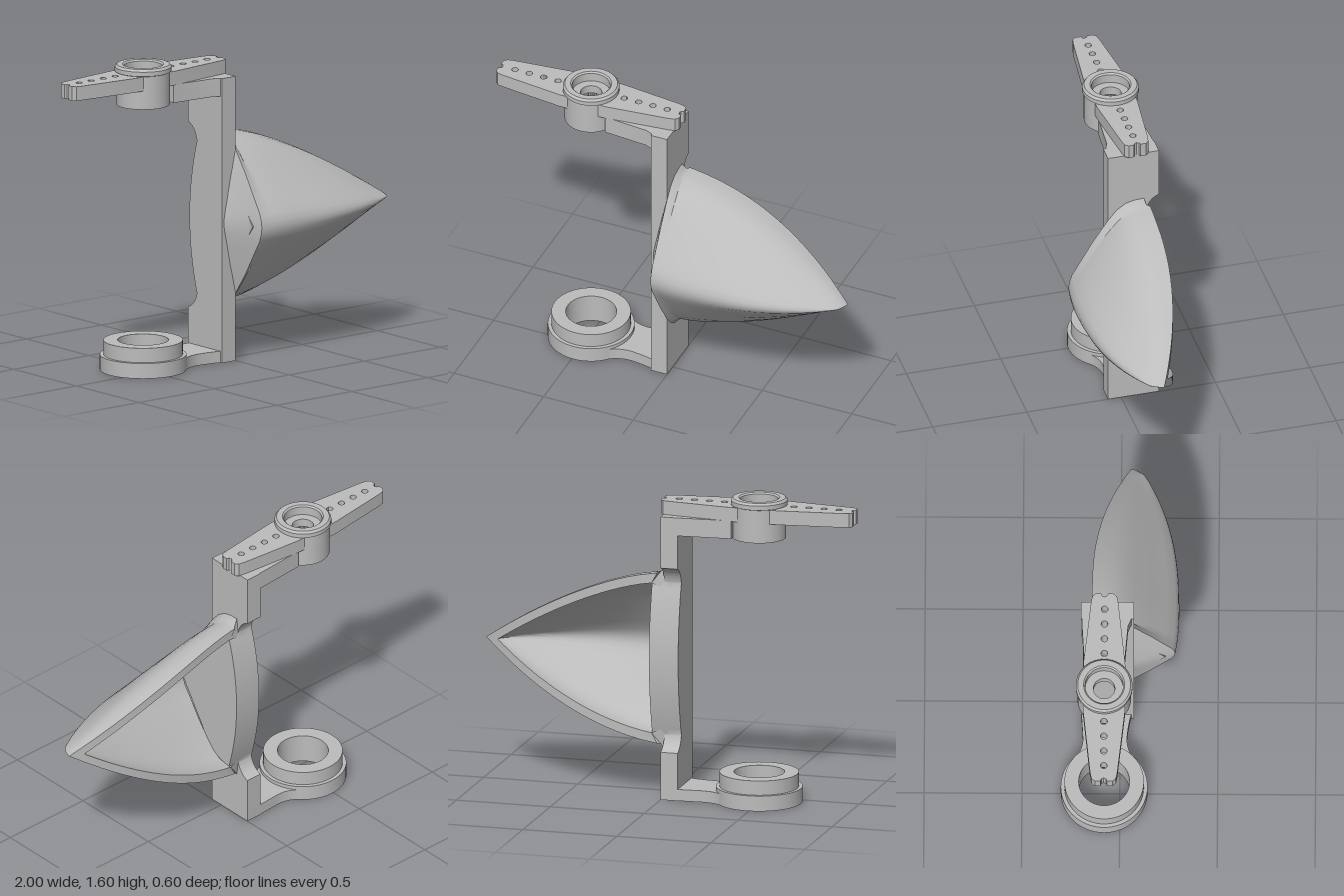
import * as THREE from 'three';
import { toCreasedNormals } from 'three/addons/utils/BufferGeometryUtils.js';

const HUB_X = -0.49, HUB_Z = -0.08, MID_Y = 0.73;

export function createModel() {
  const model = new THREE.Group();
  model.name = 'steeringBucket';
  const grey = new THREE.MeshStandardMaterial({ color: 0xbcbcbc });
  grey.name = 'grey plastic';

  const add = (name, geometry, crease = 0.6) => {
    const mesh = new THREE.Mesh(toCreasedNormals(geometry, crease), grey);
    mesh.name = name;
    model.add(mesh);
    return mesh;
  };
  const polygon = (pts) => new THREE.Shape(pts.map(([a, b]) => new THREE.Vector2(a, b)));
  const circle = (x, y, r) => new THREE.Path().absarc(x, y, r, 0, Math.PI * 2, true);
  const extrude = (shape, depth) =>
    new THREE.ExtrudeGeometry(shape, { depth, bevelEnabled: false, curveSegments: 24 });
  // shape drawn in (x, z), raised from y0 to y1
  const slab = (shape, y0, y1) => extrude(shape, y1 - y0).rotateX(Math.PI / 2).translate(0, y1, 0);
  // shape drawn in (z, y), spanning x0 to x1
  const wall = (shape, x0, x1) => extrude(shape, x1 - x0).rotateY(-Math.PI / 2).translate(x1, 0, 0);
  // closed ring profile, outer side upward first
  const ring = (pts) => new THREE.LatheGeometry(
    [...pts, pts[0]].map(([r, y]) => new THREE.Vector2(r, y)), 64).translate(HUB_X, 0, HUB_Z);

  // Upright plate with a notched, bowed back edge
  const plate = new THREE.Shape();
  plate.moveTo(0.07, 0);
  plate.lineTo(0.07, 1.49);
  plate.lineTo(-0.2, 1.49);
  plate.lineTo(-0.2, 1.22);
  plate.quadraticCurveTo(-0.145, 1.2, -0.13, 1.13);
  plate.quadraticCurveTo(-0.25, MID_Y, -0.13, 0.33);
  plate.quadraticCurveTo(-0.145, 0.27, -0.2, 0.25);
  plate.lineTo(-0.2, 0);
  add('uprightPlate', wall(plate, -0.09, 0));

  // Rib closing the inner end of the bucket
  const rib = new THREE.Shape();
  rib.moveTo(-0.13, 1.13);
  rib.quadraticCurveTo(-0.25, MID_Y, -0.13, 0.33);
  rib.lineTo(0, 0.37);
  rib.lineTo(0.23, MID_Y);
  rib.lineTo(0, 1.09);
  add('bucketRib', wall(rib, -0.02, 0.065));

  // Lower arm and bearing ring
  const lowerArm = new THREE.Shape();
  lowerArm.moveTo(0, -0.2);
  lowerArm.lineTo(0, 0.07);
  lowerArm.lineTo(-0.06, 0.07);
  lowerArm.quadraticCurveTo(-0.1, 0.045, -0.22, 0.035);
  lowerArm.quadraticCurveTo(-0.29, 0.035, -0.34, 0.08);
  lowerArm.lineTo(-0.34, -0.24);
  lowerArm.quadraticCurveTo(-0.29, -0.19, -0.22, -0.19);
  lowerArm.lineTo(-0.06, -0.2);
  add('lowerArm', slab(lowerArm, 0, 0.06));
  add('bearingRing', ring([
    [0.13, 0], [0.222, 0], [0.222, 0.08], [0.203, 0.08], [0.203, 0.155], [0.13, 0.155],
  ]));

  // Upper arm, drilled for two screws
  const upperArm = polygon([[0, -0.2], [0, 0.07], [-0.06, 0.07], [-0.13, 0.04],
    [-0.37, 0.02], [-0.37, -0.18], [-0.13, -0.195]]);
  [-0.225, -0.145].forEach((x) => upperArm.holes.push(circle(x, HUB_Z, 0.017)));
  add('upperArm', slab(upperArm, 1.395, 1.49));

  // Double-ended horn: tapered bar, row of holes and a notch at each end
  const quarter = [[0.51, 0.017], [0.51, 0.045], [0.495, 0.063], [0.46, 0.07], [0.13, 0.107]];
  const notch = [[0.497, 0.012], [0.492, 0], [0.497, -0.012]];
  const half = [...notch.slice(0, 2).reverse(), ...quarter];
  const right = [...half.slice().reverse().map(([x, z]) => [x, -z]), ...half.slice(1)];
  const left = right.map(([x, z]) => [-x, -z]);
  const horn = polygon([...right, ...left].map(([x, z]) => [x + HUB_X, z + HUB_Z]));
  horn.holes.push(circle(HUB_X, HUB_Z, 0.11));
  for (const side of [-1, 1]) {
    for (const d of [0.185, 0.265, 0.345, 0.425]) {
      horn.holes.push(circle(HUB_X + side * d, HUB_Z, 0.017));
    }
  }
  add('horn', slab(horn, 1.488, 1.562));

  // Hub: lipped cap with a screw recess above a splined socket
  add('hubCap', ring([
    [0.055, 1.5], [0.137, 1.5], [0.137, 1.562], [0.145, 1.565], [0.145, 1.588],
    [0.135, 1.6], [0.105, 1.6], [0.097, 1.592], [0.097, 1.545], [0.055, 1.545],
  ]));
  const socket = new THREE.Shape().absarc(HUB_X, HUB_Z, 0.137, 0, Math.PI * 2, false);
  const spline = [];
  for (let i = 0; i < 100; i++) {
    const a = -i / 100 * Math.PI * 2, r = i % 4 < 2 ? 0.112 : 0.1;
    spline.push(new THREE.Vector2(HUB_X + r * Math.cos(a), HUB_Z + r * Math.sin(a)));
  }
  socket.holes.push(new THREE.Path(spline));
  add('splinedSocket', slab(socket, 1.39, 1.502));

  add('bucket', bucketGeometry(), 0.7);
  return model;
}

// Half height, ridge depth and rim depth of the bucket at a given x
function bucketSize(x) {
  const u = Math.max(0, (x - 0.2) / 0.8);
  const rim = Math.max(-0.145 + 0.195 * u ** 2.3, x < 0.03 ? -0.12 : -1);
  if (x < 0) {
    const k = -x / 0.085;
    return { h: 0.475 - 0.14 * k, ridge: 0.06 + 0.21 * (1 - k) ** 1.4, rim };
  }
  const flare = 0.03 * Math.max(0, 1 - x / 0.04) ** 2;
  let ridge = 0.1 + 0.2 * (1 - u ** 2.6) - 0.02 * Math.max(0, 1 - x / 0.2) ** 2;
  if (x > 0.96) ridge -= 0.04 * ((x - 0.96) / 0.04) ** 2;
  return { h: 0.45 * (1 - Math.min(1, x) ** 1.6) + flare, ridge, rim };
}

// Shell swept along x: every loop runs over the outer V, round the rim and back inside
function bucketGeometry() {
  const profile = [[0, 0], [0.07, 0.01], [0.155, 0.045], [0.3, 0.15], [0.55, 0.33],
    [0.78, 0.52], [0.9, 0.64], [0.97, 0.76], [0.995, 0.88], [1, 1]];
  const section = [
    ...profile.slice(1).reverse().map(([a, b]) => [-a, b]), ...profile];
  const xs = [-0.085, -0.07, -0.055, -0.04, -0.02, 0, 0.01, 0.02, 0.035, 0.065];
  for (let i = 1; i <= 24; i++) xs.push(0.065 + 0.935 * Math.sin(i / 24 * Math.PI / 2));

  const positions = [], index = [];
  for (const x of xs) {
    const o = bucketSize(x);
    for (const [a, b] of section) {
      positions.push(x, MID_Y + a * o.h, o.ridge + (o.rim - o.ridge) * b);
    }
    // inner skin, from the rib to a point short of the tip
    const xi = 0.065 + Math.max(0, x - 0.065) / 0.935 * 0.865;
    const s = bucketSize(xi);
    const h = Math.max(0, s.h - 0.05);
    const depth = (s.ridge - s.rim - 0.05) * Math.sqrt(h / s.h);
    for (const [a, b] of section.slice().reverse()) {
      positions.push(xi, MID_Y + a * h, s.rim + depth * (1 - b));
    }
  }
  const n = section.length * 2;
  for (let i = 0; i < xs.length - 1; i++) {
    for (let j = 0; j < n; j++) {
      const a = i * n + j, b = i * n + (j + 1) % n;
      index.push(a, a + n, b, b, a + n, b + n);
    }
  }
  const geometry = new THREE.BufferGeometry();
  geometry.setAttribute('position', new THREE.Float32BufferAttribute(positions, 3));
  geometry.setIndex(index);
  return geometry;
}
